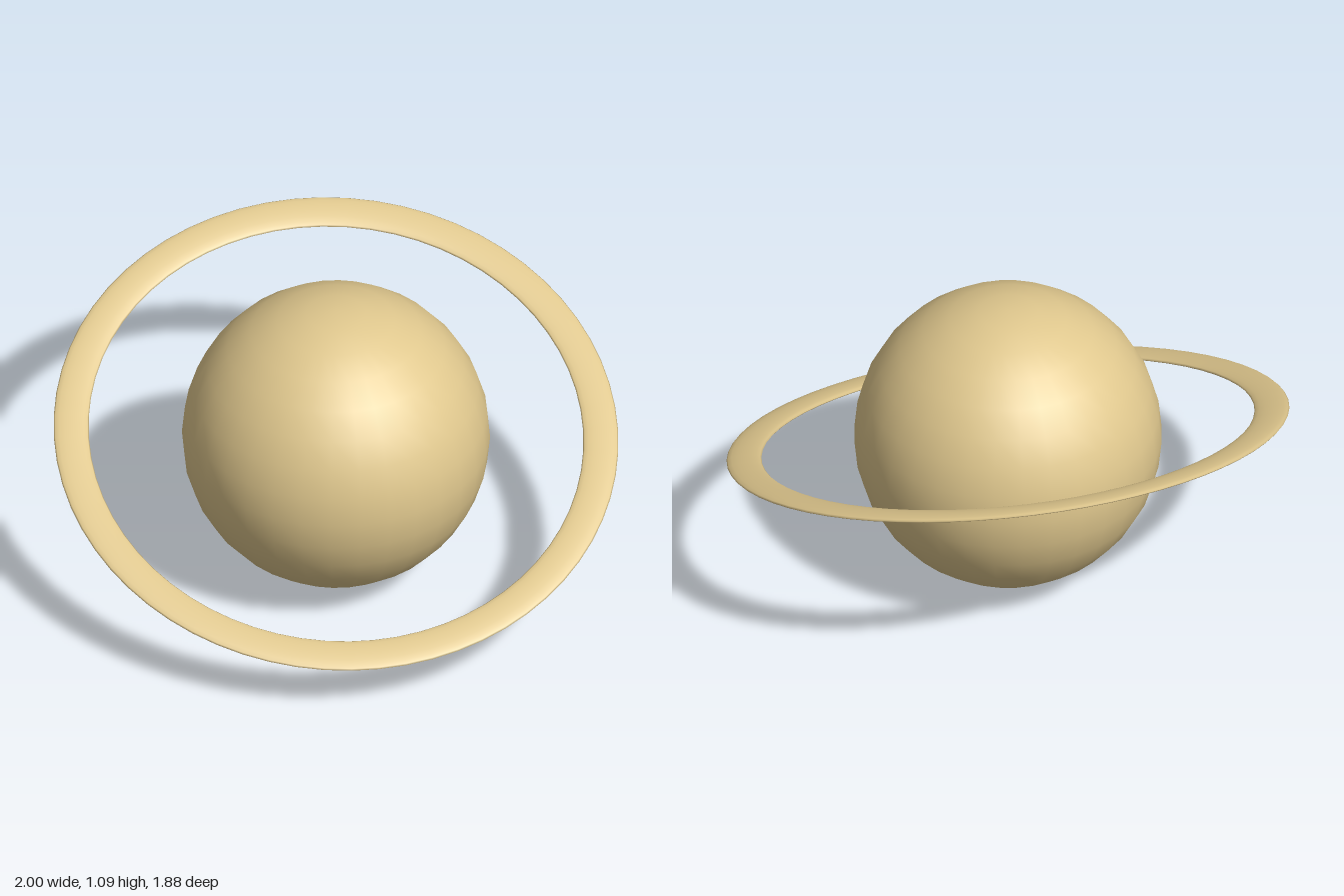
import * as THREE from 'three';

export function createModel() {
  const model = new THREE.Group();
  model.name = 'ringedPlanet';

  const sand = new THREE.MeshStandardMaterial({ color: 0xe0c88e });
  sand.name = 'sand';

  const radius = 0.545;

  // Globe resting on the ground
  const globe = new THREE.Mesh(new THREE.SphereGeometry(radius, 32, 16), sand);
  globe.name = 'globe';
  globe.position.y = radius;
  model.add(globe);

  // Flattened ring, tilted so that its front edge dips
  const ringGeometry = new THREE.TorusGeometry(0.938, 0.062, 16, 64);
  ringGeometry.scale(1, 1, 0.2);
  ringGeometry.rotateX(-Math.PI / 2);
  const ring = new THREE.Mesh(ringGeometry, sand);
  ring.name = 'ring';
  ring.position.y = radius;
  ring.rotation.x = THREE.MathUtils.degToRad(20);
  model.add(ring);

  return model;
}
